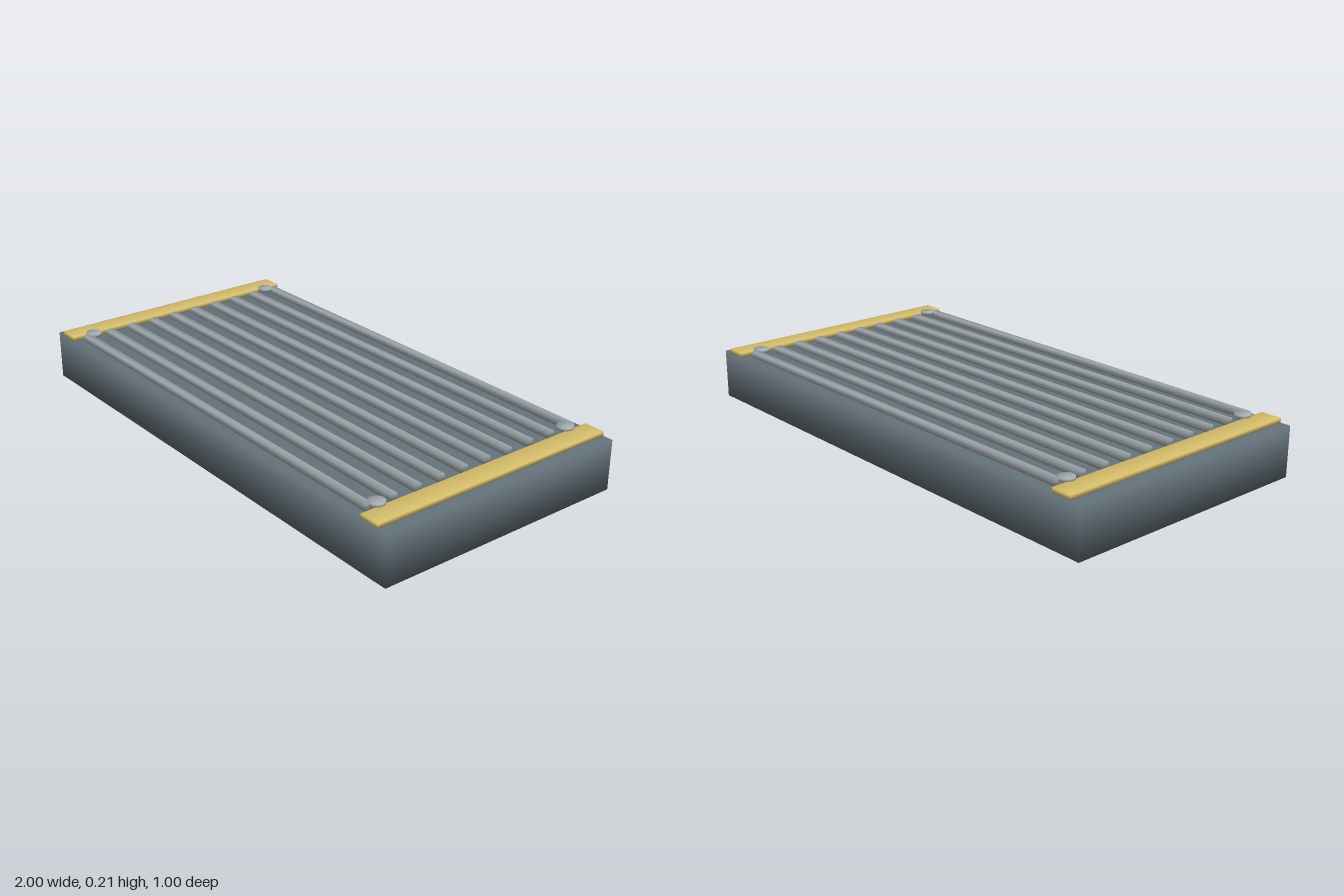
import * as THREE from 'three';
import { mergeVertices } from 'three/addons/utils/BufferGeometryUtils.js';

// Weld shared corners so shading runs smoothly over the edges
function soften(geometry) {
  geometry.deleteAttribute('normal');
  geometry.deleteAttribute('uv');
  const welded = mergeVertices(geometry, 1e-4);
  welded.computeVertexNormals();
  return welded;
}

function material(name, color) {
  const m = new THREE.MeshStandardMaterial({ color });
  m.name = name;
  return m;
}

export function createModel() {
  const model = new THREE.Group();
  model.name = 'ribbedPlate';
  const slate = material('slate grey', 0x66737b);
  const brass = material('pale brass', 0xd6be6c);
  const steel = material('light steel', 0xa2abb0);

  const add = (name, geometry, mat, x, y, z) => {
    const mesh = new THREE.Mesh(geometry, mat);
    mesh.name = name;
    mesh.position.set(x, y, z);
    model.add(mesh);
  };

  // Base slab
  add('base', soften(new THREE.BoxGeometry(2, 0.188, 1)), slate, 0, 0.094, 0);

  // Edge strips and corner bolts on both sides
  const strip = soften(new THREE.BoxGeometry(0.08, 0.018, 1));
  const bolt = soften(new THREE.CylinderGeometry(0.03, 0.03, 0.012, 12));
  for (const side of [-1, 1]) {
    add(side > 0 ? 'leftEdgeStrip' : 'rightEdgeStrip', strip, brass, side * 0.92, 0.196, 0);
    for (const end of [-1, 1]) {
      add((end > 0 ? 'front' : 'back') + (side > 0 ? 'Left' : 'Right') + 'Bolt',
        bolt, steel, side * 0.86, 0.208, end * 0.42);
    }
  }

  // Ten tread ribs across the top
  const rib = soften(new THREE.BoxGeometry(1.72, 0.023, 0.028));
  for (let i = 0; i < 10; i++) {
    add('treadRib' + (i + 1), rib, steel, 0, 0.199, -0.45 + i * 0.1);
  }
  return model;
}
